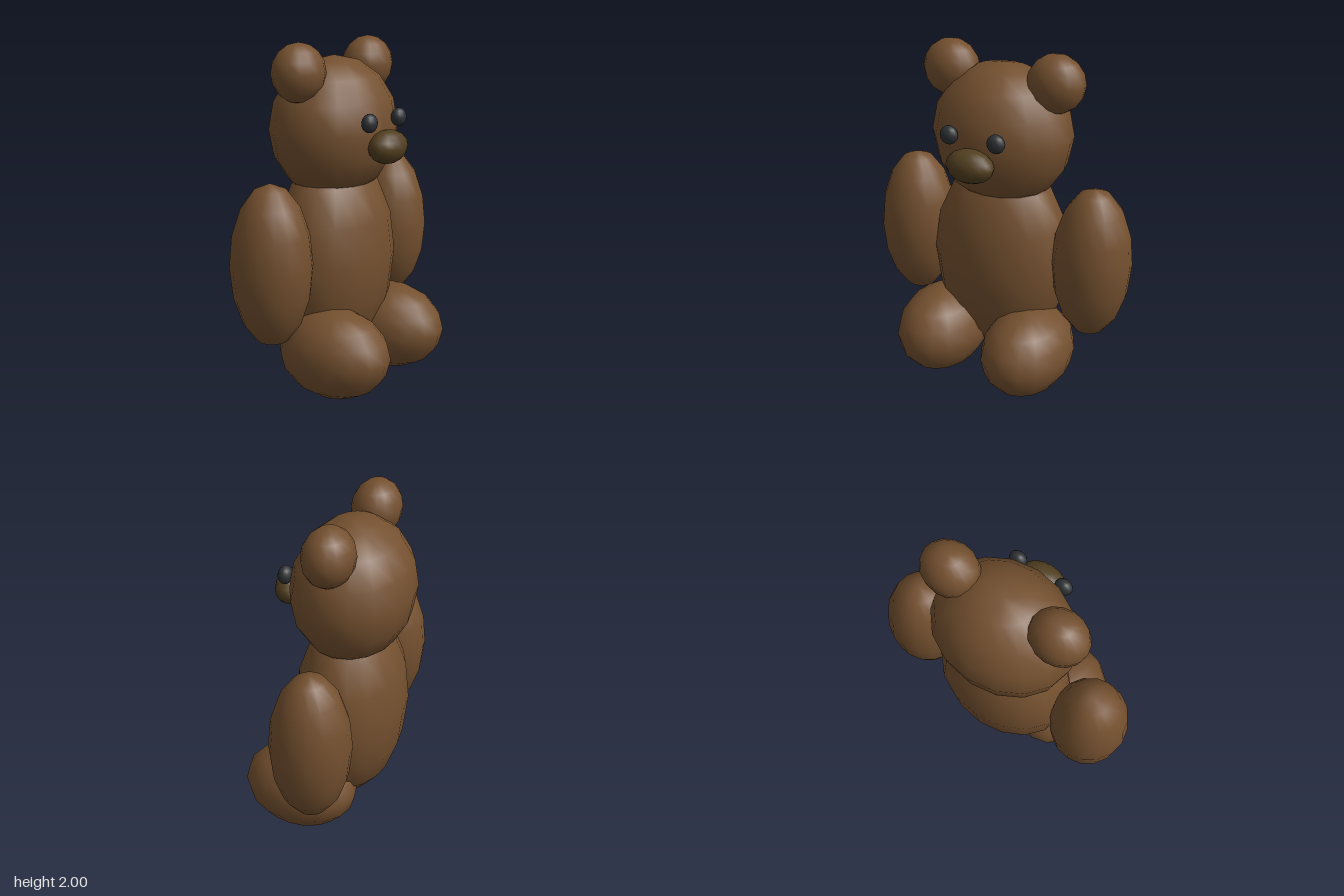
import * as THREE from 'three';

export function createModel() {
  const fur = new THREE.MeshStandardMaterial({ name: 'brown fur', color: 0x74502f });
  const noseBrown = new THREE.MeshStandardMaterial({ name: 'dark olive nose', color: 0x523f20 });
  const eyeBlack = new THREE.MeshStandardMaterial({ name: 'eye charcoal', color: 0x2d3033 });

  // Every part is a stretched sphere with the same coarse, smooth-shaded grid
  const ball = new THREE.SphereGeometry(1, 16, 8);
  const bear = new THREE.Group();
  bear.name = 'bear';
  const add = (name, material, [x, y, z], [rx, ry, rz]) => {
    const mesh = new THREE.Mesh(ball.clone().scale(rx, ry, rz), material);
    mesh.name = name;
    mesh.position.set(x, y, z);
    bear.add(mesh);
  };

  // Centre line, facing +x
  add('body', fur, [-0.112, 0.74, -0.005], [0.316, 0.62, 0.422]);
  add('head', fur, [-0.115, 1.5, -0.005], [0.343, 0.41, 0.418]);
  add('muzzle', noseBrown, [0.255, 1.424, -0.004], [0.096, 0.095, 0.143]);

  // Paired parts
  for (const [side, s] of [['left', 1], ['right', -1]]) {
    const z = (d) => s * d - 0.005;
    add(side + 'Ear', fur, [-0.11, 1.836, z(0.327)], [0.141, 0.164, 0.167]);
    add(side + 'Eye', eyeBlack, [0.23, 1.57, z(0.145)], [0.041, 0.053, 0.053]);
    add(side + 'Arm', fur, [-0.112, 0.815, z(0.582)], [0.229, 0.46, 0.23]);
    add(side + 'Leg', fur, [0.093, 0.26, z(0.288)], [0.345, 0.258, 0.259]);
  }

  // The seated bear is turned very slightly
  bear.rotation.y = 0.047;
  const model = new THREE.Group();
  model.name = 'seatedBear';
  model.add(bear);
  return model;
}
